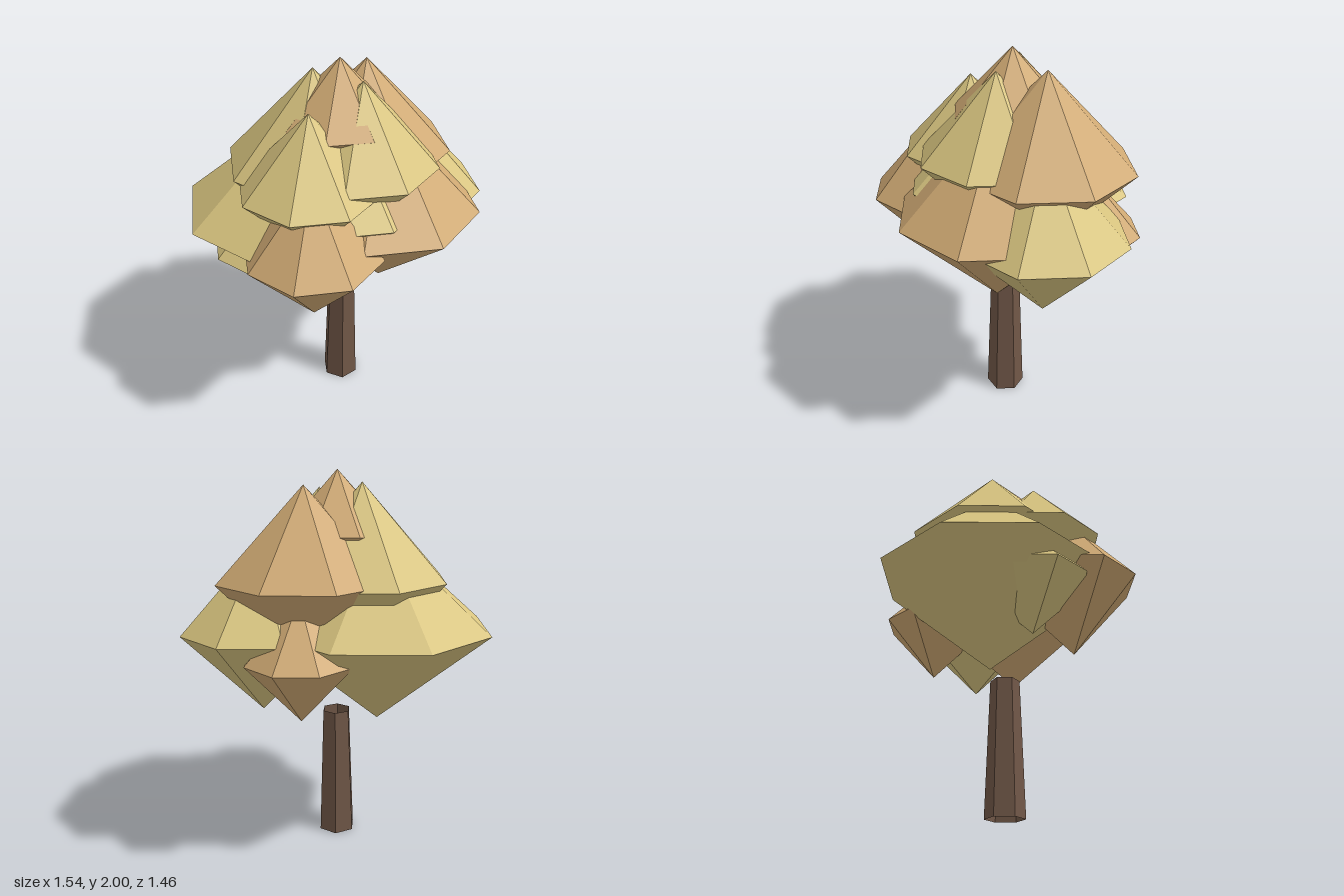
import * as THREE from 'three';

const yellow = new THREE.MeshStandardMaterial({ color: 0xd9c580, flatShading: true });
const tan = new THREE.MeshStandardMaterial({ color: 0xd0aa74, flatShading: true });
const bark = new THREE.MeshStandardMaterial({ color: 0x705747, flatShading: true, side: THREE.DoubleSide });

// Leaf clumps: name, material, centre x, y, z, radius, height above and below the rim
const clumps = [
  ['leftLowerClump', yellow, -0.17, 1.21, -0.01, 0.6, 0.51],
  ['rightLowerClump', tan, 0.27, 1.25, -0.05, 0.5, 0.49],
  ['backRightLowerClump', yellow, 0.35, 1.21, -0.32, 0.41, 0.43],
  ['frontLowerClump', tan, 0.01, 1.19, 0.38, 0.35, 0.4],
  ['frontLeftSmallClump', yellow, -0.25, 1.11, 0.25, 0.29, 0.29],
  ['backSmallClump', tan, 0.06, 1.11, -0.45, 0.28, 0.31],
  ['middleClump', yellow, 0.1, 1.33, 0.05, 0.41, 0.4],
  ['frontUpperClump', yellow, -0.05, 1.44, 0.2, 0.36, 0.38],
  ['leftUpperClump', yellow, -0.09, 1.46, -0.04, 0.45, 0.48],
  ['backUpperClump', tan, 0.13, 1.47, -0.25, 0.45, 0.46],
  ['rightUpperClump', yellow, 0.16, 1.5, -0.01, 0.39, 0.41],
  ['topClump', tan, 0.04, 1.69, -0.05, 0.3, 0.31],
];

export function createModel() {
  const tree = new THREE.Group();
  tree.name = 'tree';

  // Tapered six-sided trunk, open at the ends
  const trunk = new THREE.Mesh(new THREE.CylinderGeometry(0.078, 0.104, 0.72, 6, 1, true), bark);
  trunk.name = 'trunk';
  trunk.position.set(0.065, 0.36, -0.023);
  trunk.rotation.y = THREE.MathUtils.degToRad(20);
  tree.add(trunk);

  // Canopy of eight-sided double pyramids
  const canopy = new THREE.Group();
  canopy.name = 'canopy';
  const clumpShape = new THREE.SphereGeometry(1, 8, 2);
  for (const [name, material, x, y, z, radius, height] of clumps) {
    const clump = new THREE.Mesh(clumpShape, material);
    clump.name = name;
    clump.position.set(x, y, z);
    clump.scale.set(radius, height, radius);
    canopy.add(clump);
  }
  tree.add(canopy);
  return tree;
}
